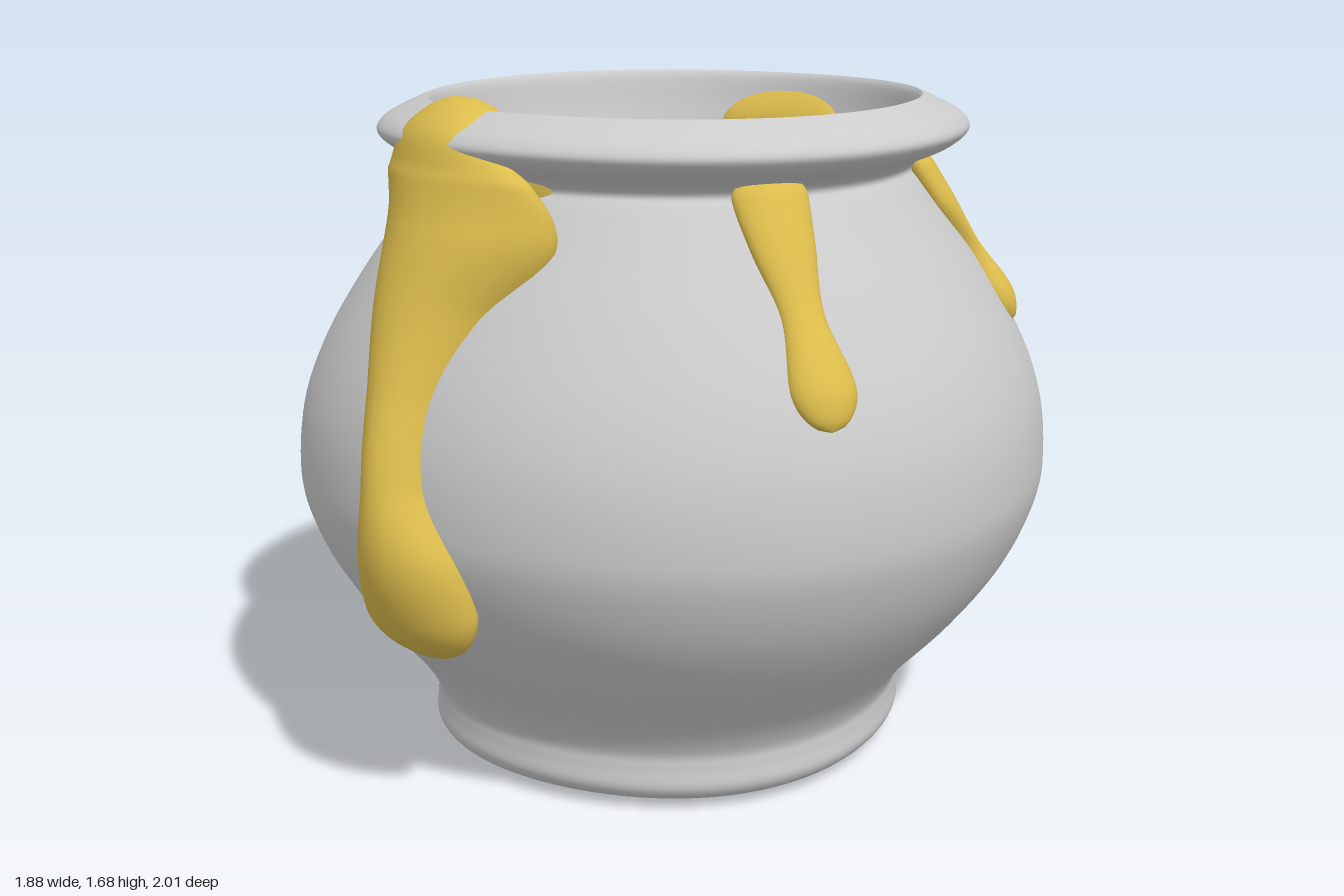
import * as THREE from 'three';

const clay = new THREE.MeshStandardMaterial({ color: 0xcccccc, side: THREE.DoubleSide });
const honey = new THREE.MeshStandardMaterial({ color: 0xdcbc4c });

// The pot is slightly squarish in plan: fuller on the diagonals
const plan = (a) => 1 + 0.028 * Math.sin(2 * a) ** 2;

// Apply the plan shape, and push the foot a little forward
function shapePlan(geo) {
  const p = geo.attributes.position;
  for (let i = 0; i < p.count; i++) {
    const x = p.getX(i), y = p.getY(i), z = p.getZ(i);
    const s = plan(Math.atan2(x, z));
    const foot = 1 - THREE.MathUtils.smoothstep(y, 0.1, 0.5);
    p.setXYZ(i, x * s, y, z * s * (1 + 0.035 * foot) + 0.04 * foot);
  }
  return geo;
}

// Lathe from a smooth curve through [radius, height] points
function turned(name, points, steps) {
  const curve = new THREE.SplineCurve(points.map(([r, y]) => new THREE.Vector2(r, y)));
  const mesh = new THREE.Mesh(shapePlan(new THREE.LatheGeometry(curve.getPoints(steps), 96)), clay);
  mesh.name = name;
  return mesh;
}

// Drip swept round the pot. Rows: [angle, radius, height, half width, half thickness];
// the first and last segments are rounded off, and thick parts curl in at the edges.
function drip(name, rows) {
  const SUB = 10, SIDES = 28, n = (rows.length - 1) * SUB;
  const path = new THREE.CatmullRomCurve3(rows.map(([a, r, y]) => new THREE.Vector3(a, r, y)));
  const size = new THREE.CatmullRomCurve3(rows.map(([, , , w, t]) => new THREE.Vector3(w, t, 0)));
  const pos = [], index = [];
  for (let i = 0; i <= n; i++) {
    const c = path.getPoint(i / n), s = size.getPoint(i / n);
    const before = path.getPoint(Math.max(0, i / n - 0.01));
    const after = path.getPoint(Math.min(1, i / n + 0.01));
    const dr = after.y - before.y, dy = after.z - before.z, len = Math.hypot(dr, dy) || 1;
    const end = Math.min(1, i / SUB, (n - i) / SUB);
    const cap = Math.max(0.01, Math.sqrt(1 - (1 - end) ** 2));
    const curl = Math.max(0, s.y - 0.06) * 1.8;
    for (let j = 0; j < SIDES; j++) {
      const phi = (j / SIDES) * Math.PI * 2;
      const a = c.x + (s.x * cap * Math.cos(phi)) / c.y;
      const lift = s.y * cap * Math.sin(phi) - curl * Math.cos(phi) ** 2;
      const r = (c.y - (lift * dy) / len) * plan(a);
      pos.push(r * Math.sin(a), c.z + (lift * dr) / len, r * Math.cos(a));
      if (i < n) {
        const k = (j + 1) % SIDES, p = i * SIDES, q = p + SIDES;
        index.push(p + j, p + k, q + j, p + k, q + k, q + j);
      }
    }
  }
  const geo = new THREE.BufferGeometry();
  geo.setAttribute('position', new THREE.Float32BufferAttribute(pos, 3));
  geo.setIndex(index);
  geo.computeVertexNormals();
  const mesh = new THREE.Mesh(geo, honey);
  mesh.name = name;
  return mesh;
}

// Small drip: inner lobe, passage under the rim, thin neck and hanging drop
function smallDrip(name, top, tip, bottom, [wTop, wNeck, wDrop]) {
  const surface = (y) => 0.605 + (1.48 - y) * 0.61;
  const at = (f, y, w, t) => [top + (tip - top) * f, surface(y), y, w, t];
  const drop = 1.46 - bottom;
  return drip(name, [
    [top, 0.56, 1.37, wTop * 0.9, 0.028],
    [top, 0.56, 1.45, wTop * 0.9, 0.03],
    [top, 0.59, 1.52, wTop * 0.7, 0.015],
    at(0, 1.47, wTop, 0.035),
    at(0.2, 1.46 - drop * 0.2, wTop * 0.85, 0.035),
    at(0.6, 1.46 - drop * 0.5, wNeck, 0.03),
    at(1, 1.46 - drop * 0.82, wDrop, 0.043),
    at(1, bottom, wDrop * 0.9, 0.035),
  ]);
}

export function createModel() {
  const model = new THREE.Group();

  // Pot body with foot, belly, neck and flared lip
  model.add(turned('potBody', [
    [0.52, 0.012], [0.57, 0.025], [0.597, 0.06], [0.594, 0.11], [0.598, 0.155],
    [0.65, 0.235], [0.767, 0.36], [0.868, 0.5], [0.928, 0.64], [0.942, 0.75],
    [0.925, 0.9], [0.87, 1.05], [0.777, 1.21], [0.672, 1.36], [0.612, 1.445],
    [0.592, 1.475], [0.62, 1.503], [0.69, 1.535], [0.726, 1.57], [0.707, 1.602],
    [0.66, 1.628], [0.61, 1.65],
  ], 110));
  model.add(turned('potBase', [[0.001, 0], [0.3, 0.004], [0.52, 0.012]], 6));
  model.add(turned('innerWall', [[0.61, 1.65], [0.598, 1.63], [0.585, 1.56], [0.565, 1.47], [0.565, 1.38]], 16));

  // Honey filling the pot
  const disc = new THREE.CircleGeometry(0.567, 96).rotateX(-Math.PI / 2).translate(0, 1.41, 0);
  const fill = new THREE.Mesh(shapePlan(disc), honey);
  fill.name = 'honeySurface';
  model.add(fill);

  // Large drips over the front and the back
  model.add(drip('frontDrip', [
    [-0.37, 0.575, 1.36, 0.19, 0.045], [-0.38, 0.575, 1.5, 0.2, 0.045],
    [-0.5, 0.6, 1.63, 0.11, 0.045], [-0.49, 0.68, 1.59, 0.14, 0.04],
    [-0.4, 0.7, 1.5, 0.25, 0.06], [-0.36, 0.72, 1.38, 0.28, 0.085],
    [-0.38, 0.79, 1.21, 0.185, 0.09], [-0.35, 0.865, 1.02, 0.115, 0.085],
    [-0.31, 0.93, 0.84, 0.095, 0.08], [-0.27, 0.955, 0.67, 0.147, 0.078],
    [-0.27, 0.925, 0.54, 0.168, 0.07], [-0.27, 0.865, 0.41, 0.155, 0.05],
  ]));
  const back = Math.PI;
  model.add(drip('backDrip', [
    [back - 0.11, 0.58, 1.38, 0.16, 0.03], [back - 0.11, 0.58, 1.52, 0.18, 0.035],
    [back - 0.13, 0.63, 1.59, 0.14, 0.03], [back - 0.15, 0.67, 1.51, 0.2, 0.055],
    [back - 0.14, 0.705, 1.39, 0.22, 0.08], [back - 0.1, 0.79, 1.22, 0.125, 0.085],
    [back - 0.03, 0.875, 1.02, 0.083, 0.078], [back + 0.01, 0.935, 0.84, 0.08, 0.06],
    [back + 0.04, 0.94, 0.7, 0.095, 0.06], [back + 0.04, 0.905, 0.57, 0.085, 0.045],
  ]));

  // Small drips round the sides
  const side = Math.PI / 2;
  model.add(smallDrip('leftFrontDrip', 0.78, 0.81, 1.0, [0.09, 0.052, 0.078]));
  model.add(smallDrip('leftBackDrip', side + 0.32, side + 0.35, 1.08, [0.062, 0.012, 0.058]));
  model.add(smallDrip('rightDrip', -side + 0.12, -side + 0.09, 1.01, [0.08, 0.042, 0.078]));

  // Pot sits slightly behind centre so the drips balance front and back
  model.children.forEach((part) => { part.position.z = -0.01; });
  return model;
}
